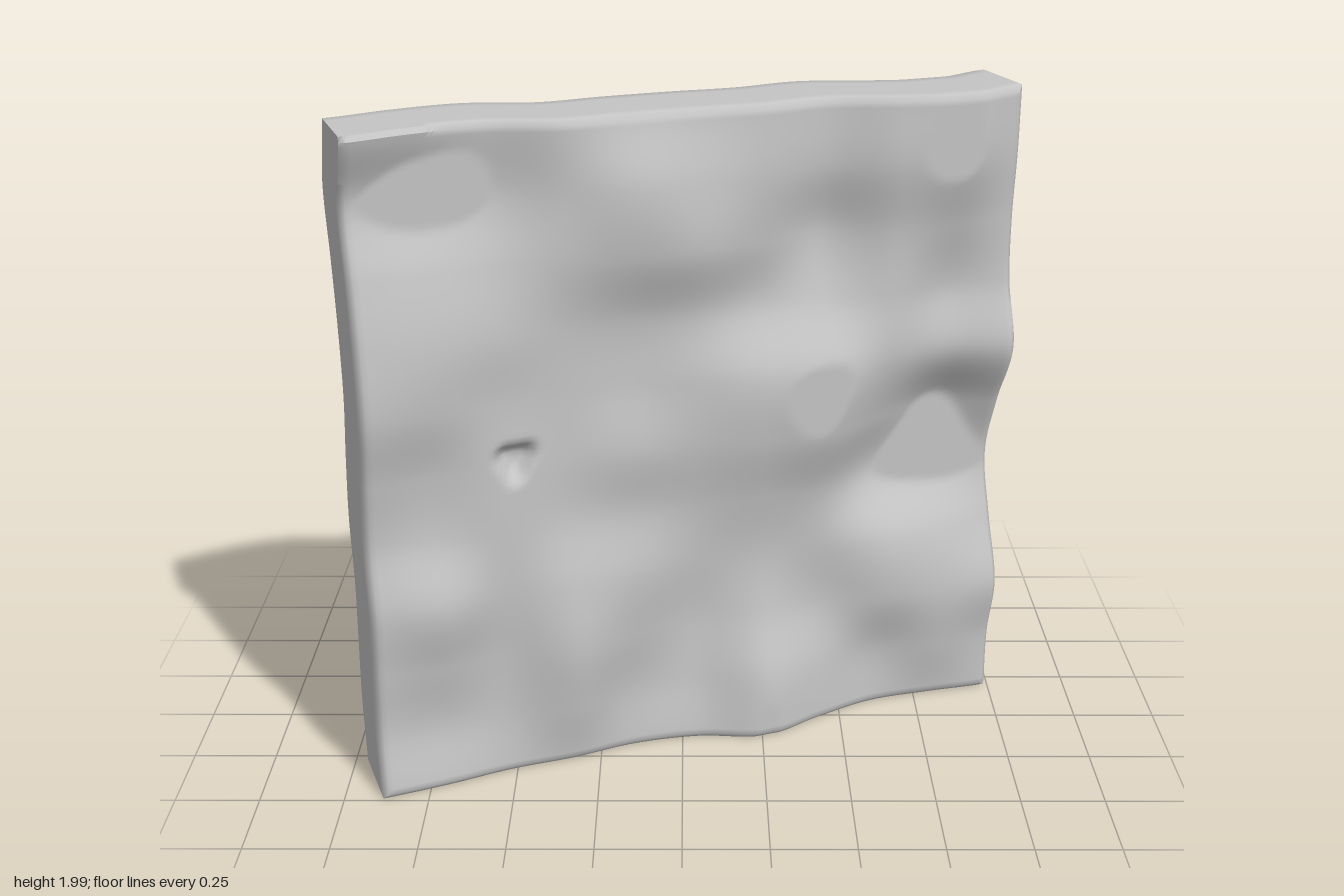
import * as THREE from 'three';
import { toCreasedNormals } from 'three/addons/utils/BufferGeometryUtils.js';

// Ripple heights in hundredths: rows run from the top down, columns from right to left end
const RIPPLE = [
  [2, -2.5, -4, 2, 1, 1, 2, 0, 6, 9.5, 3],
  [-5, -8, -6, 1.5, 6, 5, 3, 0, 7, 9.5, 3],
  [0, -1, -1, 2, 5, 6, 1, -4, 4, 4, 2],
  [4, 3.5, 2, 0, -0.5, 1, -1, 0, 4, 0, 3],
  [5.5, 3.5, 1, -0.5, -0.5, 3.5, 7, 9.2, 5, 3, 8],
  [2, 0, 1.5, 0, 2, 3.5, 6.8, 8.2, -0.5, -7, 0],
  [0, 0, 2, 0, 0, 0.5, 2.5, 2, -5.5, -8, -5.5],
  [3, 5.5, 2, 4, 2.5, -1, 0, 1, 3.5, 2, -0.5],
  [2, 2.5, 0.5, 6, 1, -2.5, 2, 0, 4.5, 6, 6],
  [1, 0, 0, 4, -1.5, -1, 7.5, 3, 0, 4, 3],
  [4, 3, 1, 1, -0.5, 2, 9, 4, 0, 1, 3],
];

// Smooth cubic blend through evenly spaced values
function cubic(get, t) {
  const i = Math.min(9, Math.max(0, Math.floor(t))), f = t - i;
  const at = k => get(Math.min(10, Math.max(0, k)));
  const a = at(i - 1), b = at(i), c = at(i + 1), d = at(i + 2);
  return b + 0.5 * f * (c - a + f * (2 * a - 5 * b + 4 * c - d + f * (3 * (b - c) + d - a)));
}

// Ripple with flattened crests and hollows
function ripple(u, v) {
  const h = cubic(r => cubic(c => RIPPLE[r][c], u * 10), (1 - v) * 10) / 100;
  return THREE.MathUtils.clamp(h, -0.055, 0.085);
}

export function createModel() {
  const W = 1.998, H = 1.985, HALF = 0.132, ROUND = 0.015, N = 128;
  const stone = new THREE.MeshStandardMaterial({ color: 0xc4c4c4 });
  stone.name = 'grey stone';

  const box = new THREE.BoxGeometry(W, H, 2, N, N, 6);
  const p = box.attributes.position;
  for (let i = 0; i < p.count; i++) {
    const x = p.getX(i), y = p.getY(i), side = p.getZ(i);
    // Rounded rim: the slab thins close to its border
    const d = Math.min(W / 2 - Math.abs(x), H / 2 - Math.abs(y));
    const k = Math.max(0, ROUND - d);
    const half = HALF - ROUND + Math.sqrt(Math.max(0, ROUND * ROUND - k * k));
    let z = ripple(x / W + 0.5, y / H + 0.5) + side * half;
    // Small three-lobed pit in the front face
    if (side > 0.99) {
      const dx = x + 0.555, dy = y - 0.02;
      const r = Math.hypot(dx, dy) / (0.06 * (1 + 0.15 * Math.sin(3 * Math.atan2(dy, dx))));
      z -= 0.05 * (1 - THREE.MathUtils.smoothstep(r, 0.3, 1.2));
    }
    p.setZ(i, z);
  }

  const slab = new THREE.Mesh(toCreasedNormals(box, 0.9), stone);
  slab.name = 'rippledSlab';
  slab.position.y = H / 2;
  slab.rotation.y = THREE.MathUtils.degToRad(20);

  const group = new THREE.Group();
  group.name = 'slabModel';
  group.add(slab);
  return group;
}
